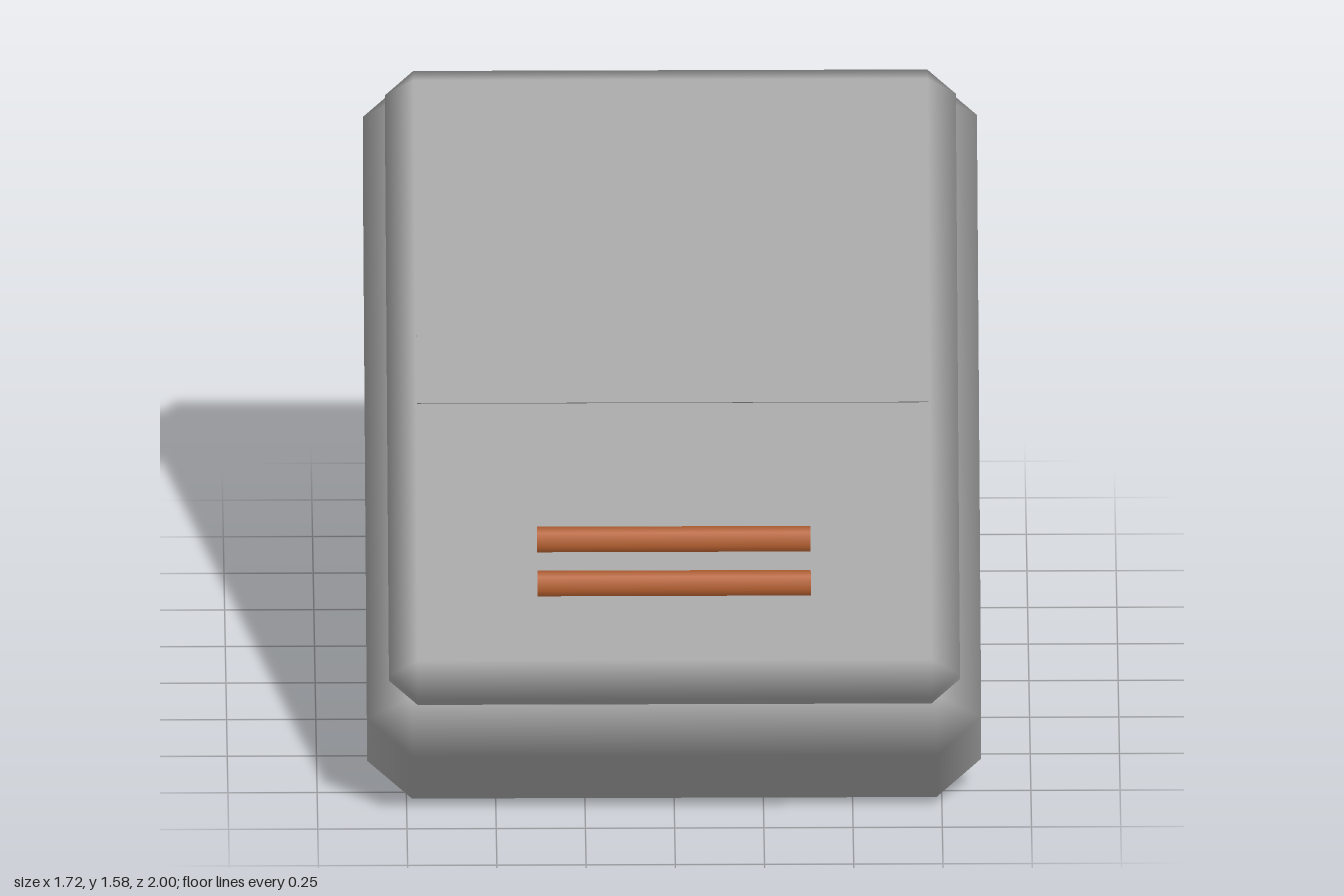
import * as THREE from 'three';
import { ConvexGeometry } from 'three/addons/geometries/ConvexGeometry.js';

const grey = new THREE.MeshStandardMaterial({ name: 'grey', color: 0x999999 });
const copper = new THREE.MeshStandardMaterial({ name: 'copper', color: 0xb56030 });

// Box with one-segment bevels: flat main faces, softly shaded bevels
function bevelBox(half, bevel) {
  const points = [];
  for (let axis = 0; axis < 3; axis++)
    for (const sx of [-1, 1]) for (const sy of [-1, 1]) for (const sz of [-1, 1]) {
      const p = [sx, sy, sz].map((s, i) => s * (half[i] - (i === axis ? 0 : bevel[i])));
      points.push(new THREE.Vector3(...p));
    }
  const geo = new ConvexGeometry(points);
  const pos = geo.attributes.position, normal = geo.attributes.normal;
  for (let i = 0; i < pos.count; i++) {
    // each corner point takes the normal of the main face it lies on
    const n = [pos.getX(i), pos.getY(i), pos.getZ(i)]
      .map((v, k) => (Math.abs(v) > half[k] - 1e-4 ? Math.sign(v) : 0));
    normal.setXYZ(i, ...n);
  }
  return geo;
}

export function createModel() {
  const model = new THREE.Group();
  model.name = 'tiltedCase';
  // Everything is laid out flat, then leaned back
  const tilted = new THREE.Group();
  tilted.name = 'case';
  tilted.rotation.x = 0.595;
  model.add(tilted);

  const add = (name, geo, mat, x, y, z) => {
    const mesh = new THREE.Mesh(geo, mat);
    mesh.name = name;
    mesh.position.set(x, y, z);
    tilted.add(mesh);
    return mesh;
  };

  // Case body and lid
  add('body', bevelBox([0.86, 0.226, 1.117], [0.125, 0.115, 0.125]), grey, 0, 0.608, -0.428);
  add('lid', bevelBox([0.8, 0.093, 1.036], [0.08, 0.08, 0.08]), grey, 0, 0.873, -0.431);

  // Thin panel on the lid
  add('panel', new THREE.BoxGeometry(1.432, 0.006, 0.443), grey, 0, 0.966, -0.543);

  // Two six-sided bars near the lower edge
  for (const z of [0.281, 0.136]) {
    const bar = new THREE.CylinderGeometry(0.038, 0.038, 0.766, 6, 1, false, Math.PI / 6);
    add('bar', bar, copper, 0, 0.977, z).rotation.z = Math.PI / 2;
  }
  return model;
}
